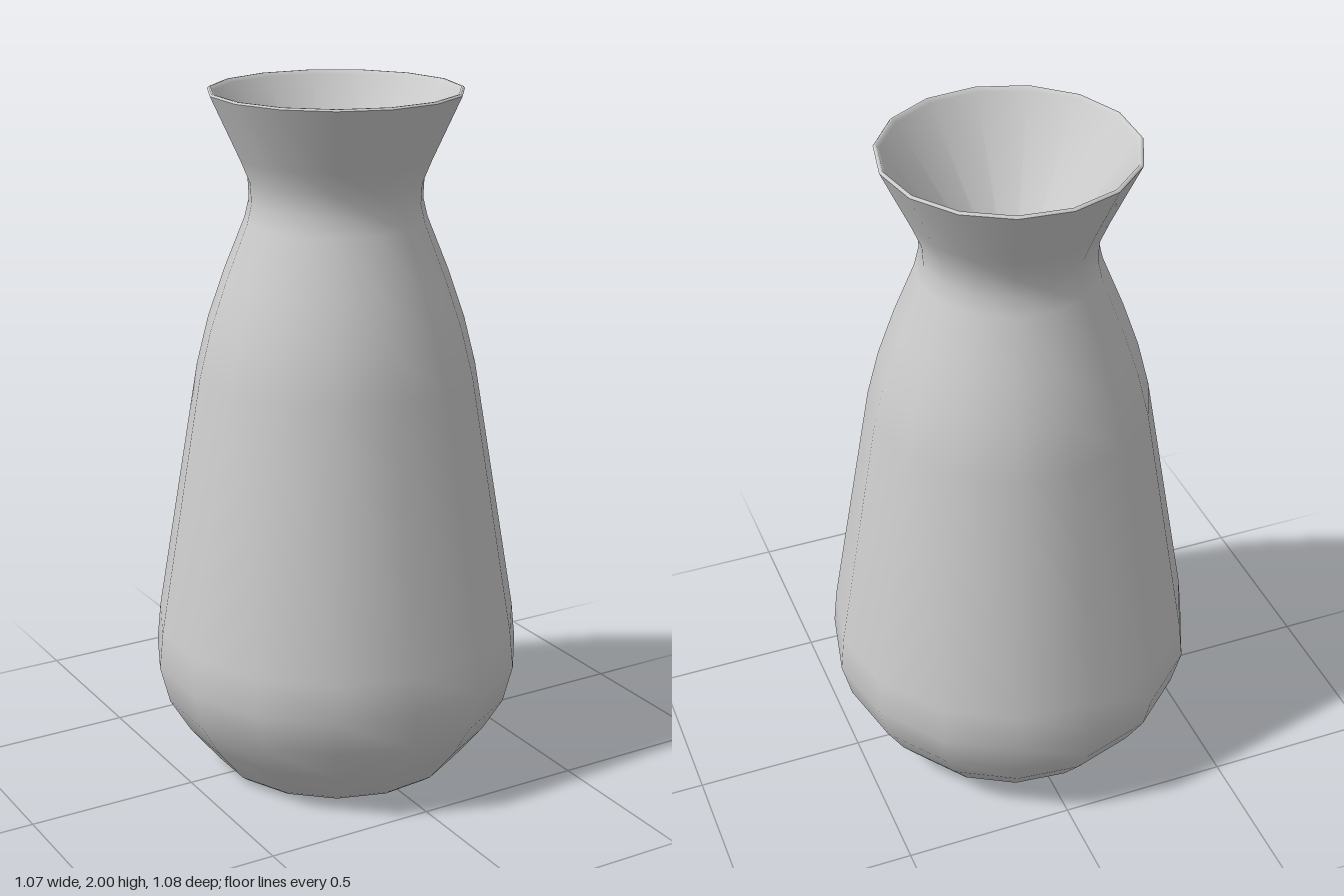
import * as THREE from 'three';

const SIDES = 15;
const material = new THREE.MeshStandardMaterial({ color: 0xcccccc });

// Turn a [radius, height] profile; a corner of the polygon points along +x
function turned(name, profile) {
  const points = profile.map(([r, y]) => new THREE.Vector2(r, y));
  const mesh = new THREE.Mesh(new THREE.LatheGeometry(points, SIDES, Math.PI / 2), material);
  mesh.name = name;
  return mesh;
}

export function createModel() {
  const vase = new THREE.Group();
  vase.name = 'vase';

  // Each part is its own surface, so the edges between them stay sharp
  vase.add(
    turned('base', [[0, 0], [0.35, 0]]),
    turned('body', [
      [0.35, 0], [0.37, 0.015], [0.455, 0.12], [0.515, 0.22], [0.543, 0.33], [0.532, 0.44],
      [0.405, 1.2], [0.37, 1.34], [0.322, 1.48], [0.26, 1.635], [0.247, 1.69],
      [0.25, 1.75], [0.277, 1.815], [0.36, 1.995],
    ]),
    turned('rim', [[0.36, 1.995], [0.356, 2], [0.35, 2], [0.343, 1.99]]),
    turned('funnel', [[0.343, 1.99], [0.033, 1.54]]),
    turned('funnelFloor', [[0.033, 1.54], [0, 1.54]]),
  );

  // Centre the odd-sided outline on x = 0
  vase.children.forEach((part) => { part.position.x = -0.006; });
  return vase;
}
